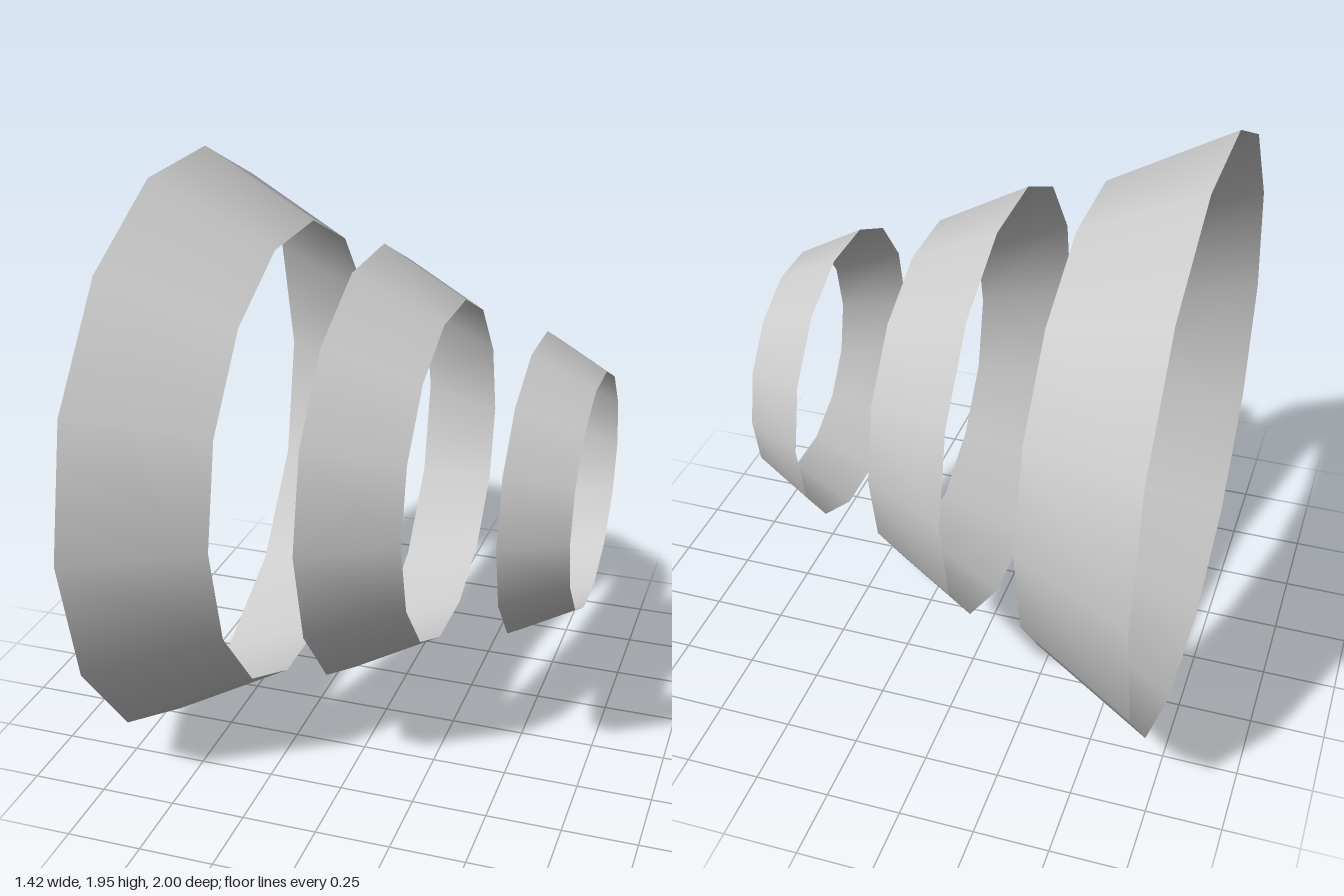
import * as THREE from 'three';

const SIDES = 14;
const CENTRE_Y = Math.cos(Math.PI / SIDES); // lowest flat rests on the ground

// Each band: x start, x end, radius at start, radius at end
const BANDS = [
  { name: 'largeBand', x0: -0.71, x1: -0.31, r0: 1.0, r1: 0.785 },
  { name: 'middleBand', x0: -0.06, x1: 0.23, r0: 0.731, r1: 0.575 },
  { name: 'smallBand', x0: 0.507, x1: 0.71, r0: 0.502, r1: 0.393 },
];

export function createModel() {
  const group = new THREE.Group();
  group.name = 'taperedBands';
  const material = new THREE.MeshStandardMaterial({ color: 0xcccccc, side: THREE.DoubleSide });

  // Open cone sections lying along x, narrowing towards +x
  for (const { name, x0, x1, r0, r1 } of BANDS) {
    const geometry = new THREE.CylinderGeometry(r1, r0, x1 - x0, SIDES, 1, true);
    geometry.rotateZ(-Math.PI / 2);
    const band = new THREE.Mesh(geometry, material);
    band.name = name;
    band.position.set((x0 + x1) / 2, CENTRE_Y, 0);
    group.add(band);
  }
  return group;
}
